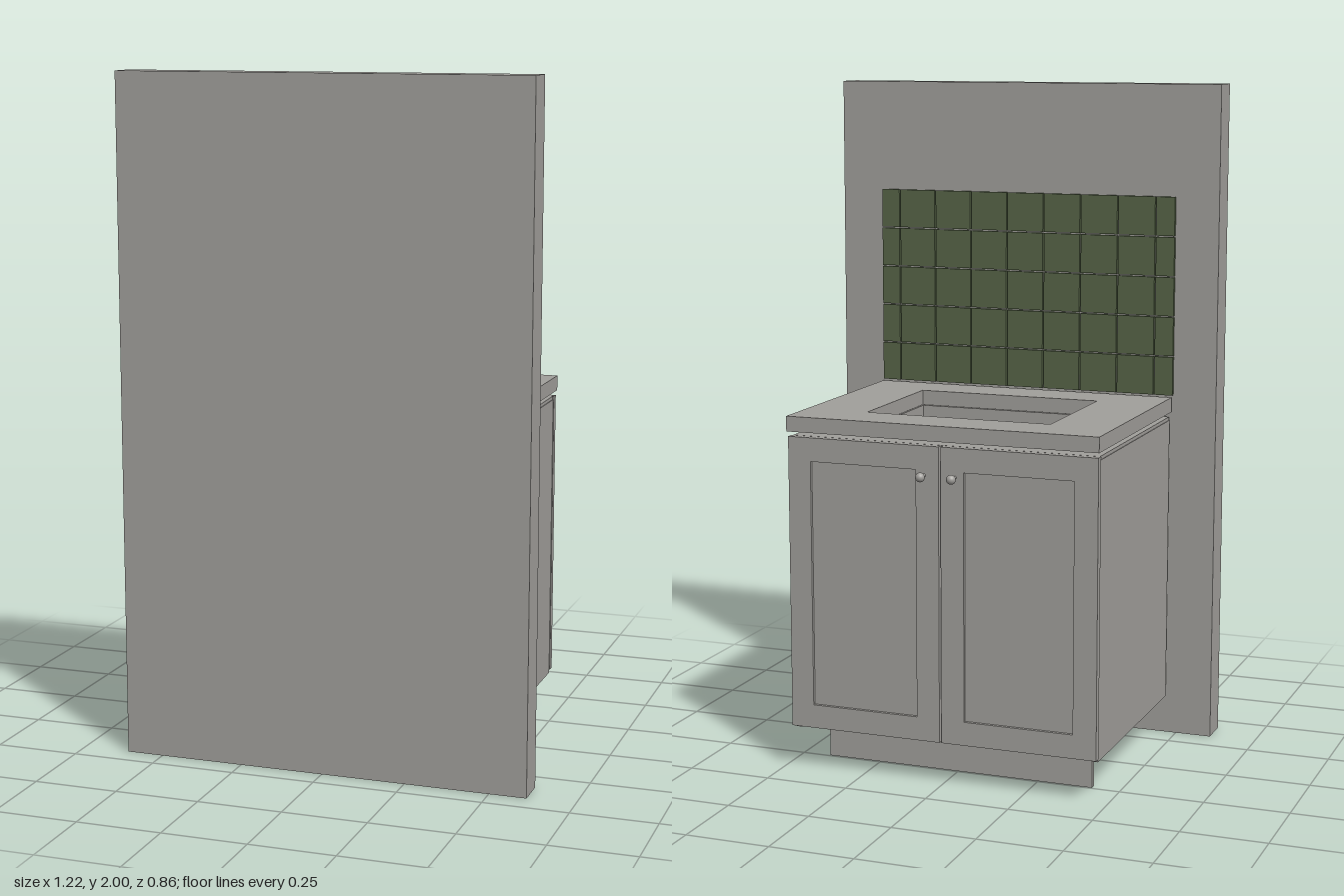
import * as THREE from 'three';

export function createModel() {
  const model = new THREE.Group();
  model.name = 'sinkCabinet';
  const grey = new THREE.MeshStandardMaterial({ color: 0xa09e9a });
  grey.name = 'warm grey';
  const green = new THREE.MeshStandardMaterial({ color: 0x566447 });
  green.name = 'olive green';

  // Box given by its lower and upper corners
  function box(name, x0, x1, y0, y1, z0, z1, parent = model, material = grey) {
    const mesh = new THREE.Mesh(new THREE.BoxGeometry(x1 - x0, y1 - y0, z1 - z0), material);
    mesh.position.set((x0 + x1) / 2, (y0 + y1) / 2, (z0 + z1) / 2);
    mesh.name = name;
    parent.add(mesh);
    return mesh;
  }

  // Horizontal slab with a rectangular opening
  function slab(name, x, z0, z1, hx, hz0, hz1, y0, y1) {
    const rect = (P, w, a, b) => {
      const p = new P();
      p.moveTo(-w, a);
      p.lineTo(w, a);
      p.lineTo(w, b);
      p.lineTo(-w, b);
      p.closePath();
      return p;
    };
    const shape = rect(THREE.Shape, x, -z1, -z0);
    shape.holes.push(rect(THREE.Path, hx, -hz1, -hz0));
    const geo = new THREE.ExtrudeGeometry(shape, { depth: y1 - y0, bevelEnabled: false });
    geo.rotateX(-Math.PI / 2).translate(0, y0, 0);
    const mesh = new THREE.Mesh(geo, grey);
    mesh.name = name;
    model.add(mesh);
  }

  // Wall behind the cabinet
  box('wall', -0.61, 0.61, 0, 2, 0.335, 0.43);

  // Square tiles with half tiles at both ends, separated by narrow joints
  const tiles = new THREE.Group();
  tiles.name = 'backsplash';
  model.add(tiles);
  const pitch = 0.119, rowPitch = 0.121, joint = 0.002, half = 0.476;
  for (let row = 0; row < 5; row++) {
    for (let col = -4; col <= 4; col++) {
      const x0 = Math.max(-half, (col - 0.5) * pitch + joint);
      const x1 = Math.min(half, (col + 0.5) * pitch - joint);
      const y0 = 1.065 + row * rowPitch;
      box('tile', x0, x1, y0, y0 + rowPitch - 2 * joint, 0.324, 0.335, tiles, green);
    }
  }

  // Countertop and the support frame below it
  slab('countertop', 0.475, -0.39, 0.32, 0.283, -0.246, 0.18, 1.015, 1.06);
  slab('supportFrame', 0.468, -0.36, 0.32, 0.288, -0.25, 0.185, 0.985, 1.0);

  // Open sink basin
  const sink = new THREE.Group();
  sink.name = 'sink';
  model.add(sink);
  box('basinFloor', -0.288, 0.288, 0.78, 0.79, -0.251, 0.185, sink);
  box('basinDoorWall', -0.288, 0.288, 0.79, 1.014, -0.251, -0.242, sink);
  box('basinRearWall', -0.288, 0.288, 0.79, 1.014, 0.176, 0.185, sink);
  for (const s of [-1, 1]) {
    const a = s * 0.279, b = s * 0.288;
    box('basinSideWall', Math.min(a, b), Math.max(a, b), 0.79, 1.014, -0.242, 0.176, sink);
  }

  // Cabinet carcass
  const carcass = new THREE.Group();
  carcass.name = 'carcass';
  model.add(carcass);
  box('leftSide', 0.45, 0.47, 0.12, 0.99, -0.36, 0.32, carcass);
  box('rightSide', -0.47, -0.45, 0.12, 0.99, -0.36, 0.32, carcass);
  box('cabinetFloor', -0.45, 0.45, 0.123, 0.143, -0.36, 0.32, carcass);
  box('cabinetBack', -0.45, 0.45, 0.143, 0.985, 0.305, 0.32, carcass);
  box('toeKick', -0.415, 0.415, 0, 0.123, -0.245, -0.225);

  // Framed doors with round knobs
  for (const s of [-1, 1]) {
    const door = new THREE.Group();
    door.name = s > 0 ? 'leftDoor' : 'rightDoor';
    model.add(door);
    const part = (name, a, b, y0, y1, z0, z1) =>
      box(name, Math.min(s * a, s * b), Math.max(s * a, s * b), y0, y1, z0, z1, door);
    part('bottomRail', 0.003, 0.472, 0.13, 0.2, -0.385, -0.362);
    part('topRail', 0.003, 0.472, 0.93, 1.0, -0.385, -0.362);
    part('innerStile', 0.003, 0.073, 0.2, 0.93, -0.385, -0.362);
    part('outerStile', 0.402, 0.472, 0.2, 0.93, -0.385, -0.362);
    part('doorPanel', 0.073, 0.402, 0.2, 0.93, -0.375, -0.364);

    const stem = new THREE.Mesh(new THREE.CylinderGeometry(0.005, 0.005, 0.028, 16), grey);
    stem.rotation.x = Math.PI / 2;
    stem.position.set(s * 0.047, 0.915, -0.398);
    stem.name = 'knobStem';
    const knob = new THREE.Mesh(new THREE.SphereGeometry(0.0138, 24, 16), grey);
    knob.position.set(s * 0.047, 0.915, -0.416);
    knob.name = 'knob';
    door.add(stem, knob);
  }
  return model;
}
